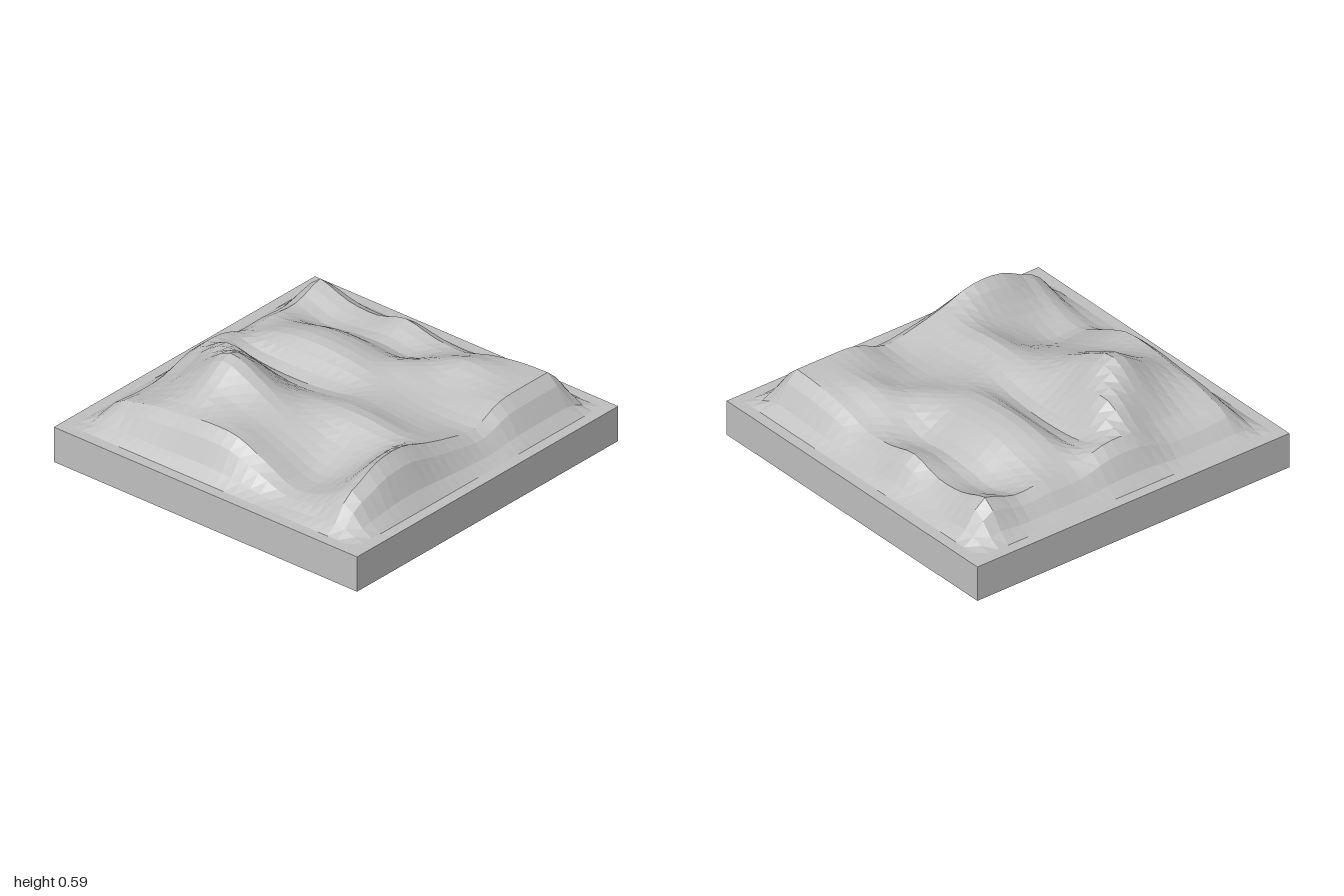
import * as THREE from 'three';

const BASE = 0.2;   // slab thickness
const CELLS = 32;   // terrain cells per side
const STEP = 0.1875;

// Relief above the slab in hundredths: rows run back to front, columns -x to +x, from -0.75 to 0.75
const RELIEF = [
  [19, 13, 12, 17, 13, 12, 17, 20, 21],
  [13, 8, 10, 11, 10, 17, 22, 21, 21],
  [14, 17, 21, 21, 19, 20, 16, 17, 20],
  [14, 20, 23, 23, 21, 17, 13, 12, 13],
  [20, 14, 12, 12, 14, 17, 15, 14, 16],
  [20, 30, 27, 21, 20, 21, 21, 19, 21],
  [13, 27, 39, 32, 22, 16, 12, 15, 27],
  [12, 20, 29, 25, 19, 12, 5, 11, 26],
  [14, 18, 20, 22, 21, 13, 5, 9, 18],
];

// Smooth curve through evenly spaced values, held constant past the ends
function spline(values, t) {
  const last = values.length - 1;
  t = THREE.MathUtils.clamp(t, 0, last);
  const i = Math.min(Math.floor(t), last - 1);
  const f = t - i;
  const at = (k) => values[THREE.MathUtils.clamp(k, 0, last)];
  const [a, b, c, d] = [at(i - 1), at(i), at(i + 1), at(i + 2)];
  return b + 0.5 * f * (c - a + f * (2 * a - 5 * b + 4 * c - d + f * (3 * (b - c) + d - a)));
}

// Hills fade into a flat rim around the slab
const fade = (v) => THREE.MathUtils.smoothstep(1 - Math.abs(v), 0.0625, 0.25);

function height(x, z) {
  const column = RELIEF.map((row) => spline(row, (x + 0.75) / STEP));
  const h = spline(column, (z + 0.75) / STEP) / 100;
  return Math.max(0, h) * fade(x) * fade(z);
}

function makeTerrain(material) {
  const grid = new THREE.PlaneGeometry(2, 2, CELLS, CELLS).rotateX(-Math.PI / 2);
  const p = grid.attributes.position;
  for (let i = 0; i < p.count; i++) p.setY(i, BASE + height(p.getX(i), p.getZ(i)));
  // Separate triangles give the faceted look
  const faceted = grid.toNonIndexed();
  faceted.computeVertexNormals();
  const mesh = new THREE.Mesh(faceted, material);
  mesh.name = 'terrain';
  return mesh;
}

function makeSlab(material) {
  const box = new THREE.BoxGeometry(2, BASE, 2).translate(0, BASE / 2, 0);
  // Leave out the top face, which the terrain covers
  const index = Array.from(box.index.array);
  index.splice(12, 6);
  box.setIndex(index);
  box.clearGroups();
  const mesh = new THREE.Mesh(box, material);
  mesh.name = 'baseSlab';
  return mesh;
}

export function createModel() {
  const stone = new THREE.MeshStandardMaterial({ color: 0xc0c0c0 });
  stone.name = 'stoneGrey';
  const model = new THREE.Group();
  model.name = 'terrainTile';
  model.add(makeSlab(stone), makeTerrain(stone));
  return model;
}
